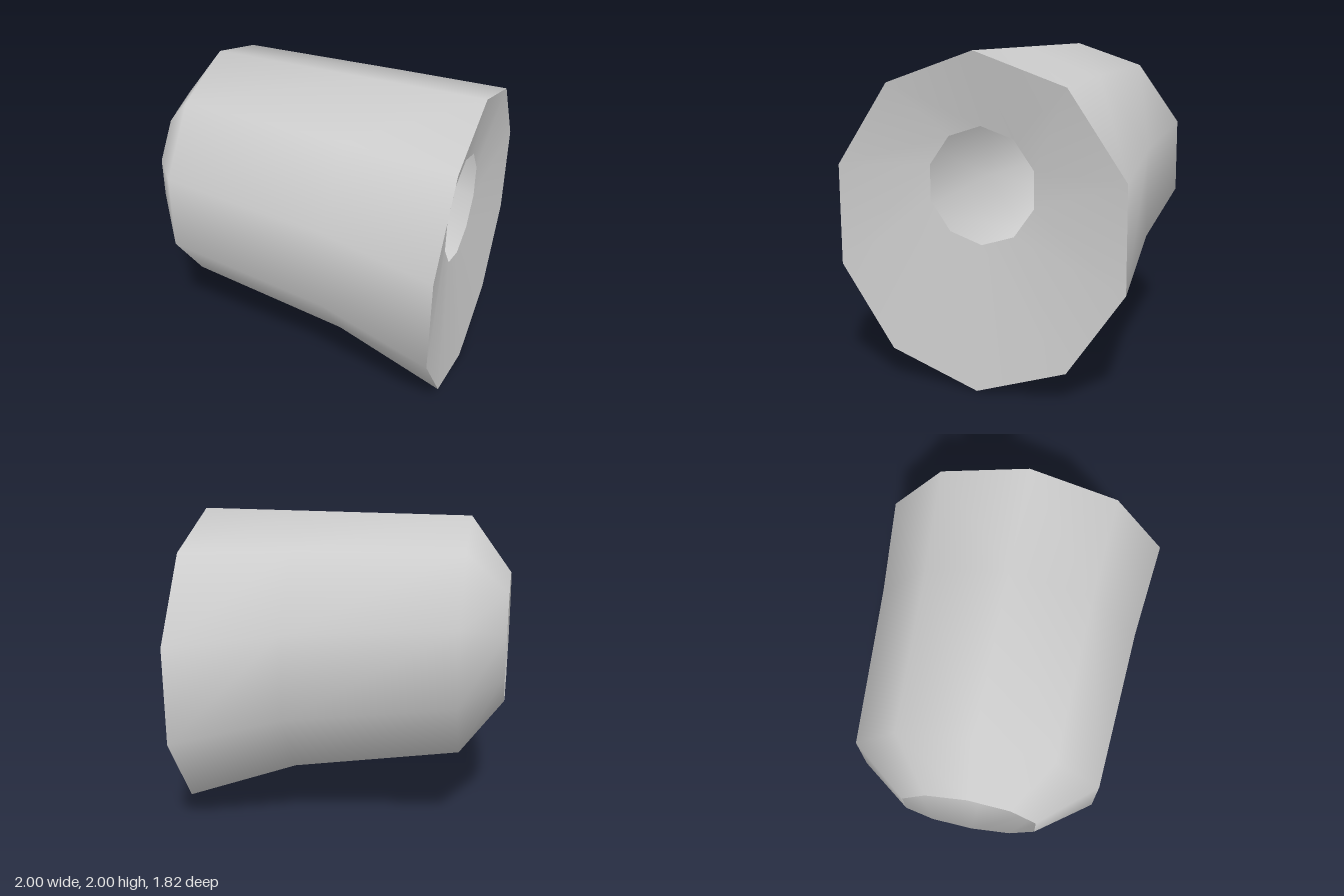
import * as THREE from 'three';

const SIDES = 10;

// Smooth ten-sided skin through rings of [x, centre height, radius, depth scale]
function loft(rings) {
  const positions = [], index = [];
  rings.forEach(([x, cy, r, depth = 1], k) => {
    for (let i = 0; i < SIDES; i++) {
      const t = (i / SIDES) * Math.PI * 2;
      positions.push(x, cy + r * Math.cos(t), r * depth * Math.sin(t));
      if (k === rings.length - 1) continue;
      const a = k * SIDES + i, an = k * SIDES + ((i + 1) % SIDES);
      index.push(a, an, a + SIDES, an, an + SIDES, a + SIDES);
    }
  });
  const geometry = new THREE.BufferGeometry();
  geometry.setAttribute('position', new THREE.Float32BufferAttribute(positions, 3));
  geometry.setIndex(index);
  geometry.computeVertexNormals();
  return geometry;
}

export function createModel() {
  const group = new THREE.Group();
  group.name = 'flaredSleeve';
  const grey = new THREE.MeshStandardMaterial({ color: 0xcccccc, side: THREE.DoubleSide });
  grey.name = 'lightGrey';

  const rim = [1, 1, 1, 0.957];

  // Open tapered nose, body level along the top, and flared end
  const shell = new THREE.Mesh(loft([
    [-1, 1.22, 0.43],
    [-0.74, 1.22, 0.78],
    [0.3, 1.135, 0.865],
    rim,
  ]), grey);
  shell.name = 'outerShell';

  // Shallow dished end plate with a hole
  const plate = new THREE.Mesh(loft([rim, [0.91, 1.22, 0.35]]), grey);
  plate.name = 'dishedEndPlate';

  group.add(shell, plate);
  return group;
}
